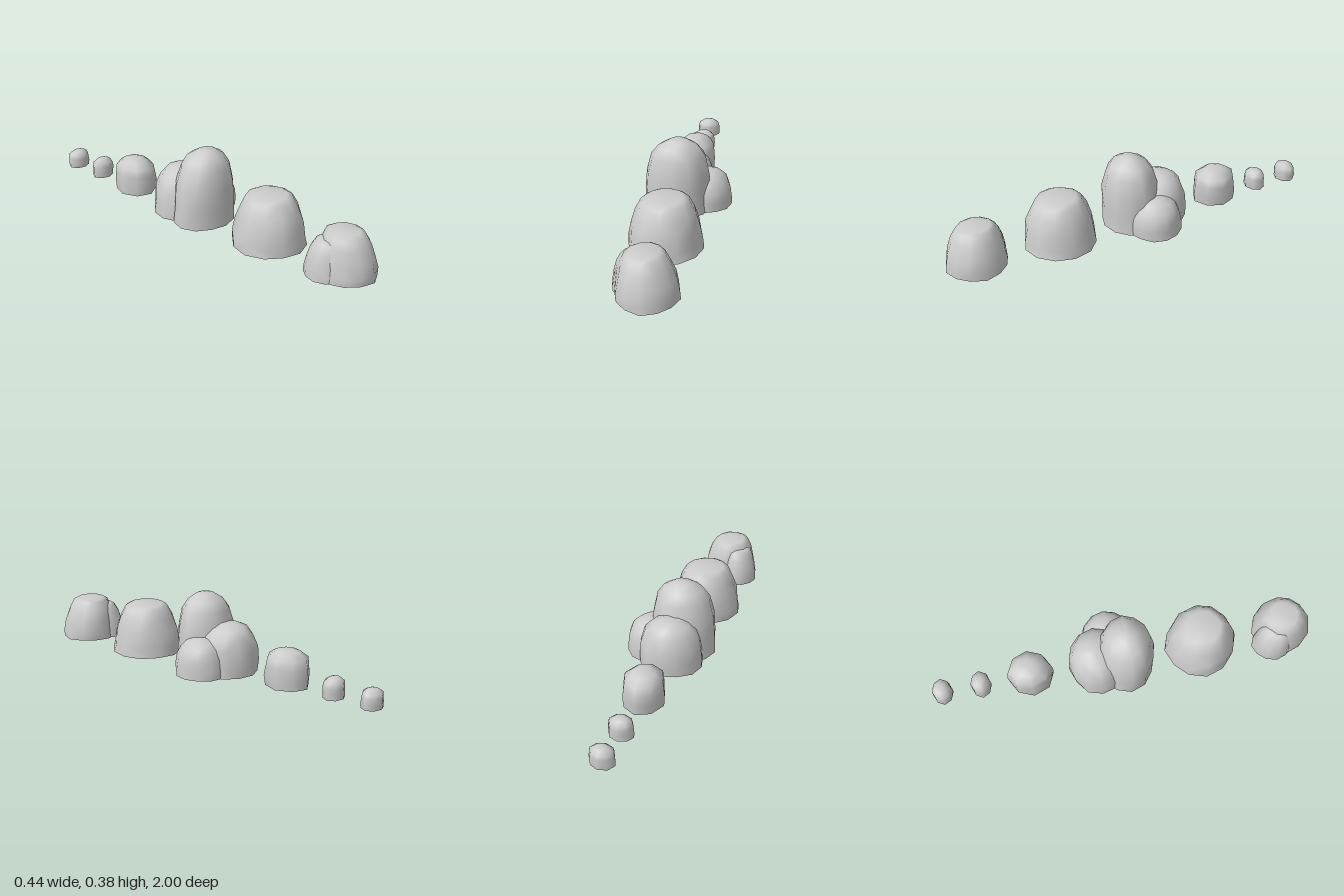
import * as THREE from 'three';

const material = new THREE.MeshStandardMaterial({ color: 0xcccccc, side: THREE.DoubleSide });

function seeded(seed) {
  return () => {
    seed = (seed * 16807) % 2147483647;
    return seed / 2147483647;
  };
}

// Profiles from the open base to the crown: [radius share, height share]
const TAPERED = [[1, 0], [0.98, 0.17], [0.91, 0.45], [0.79, 0.72], [0.63, 0.92], [0.47, 0.98]];
const ROUND = [[1, 0], [0.99, 0.25], [0.94, 0.52], [0.8, 0.76], [0.58, 0.91], [0.3, 0.99]];
const TALL = [[1, 0], [0.99, 0.28], [0.95, 0.53], [0.82, 0.77], [0.61, 0.9], [0.28, 0.985]];
const BLOCKY = [[0.97, 0], [1, 0.28], [0.97, 0.55], [0.9, 0.78], [0.55, 0.94], [0.3, 0.99]];

// Hollow boulder: irregular rings that lean toward an offset crown
function boulder({ name, x, z, rx, rz, h, profile, seed, lean = [0, 0], sides = 12 }) {
  const random = seeded(seed * 7919);
  const pos = [], index = [];
  profile.forEach(([r, y], k) => {
    for (let i = 0; i < sides; i++) {
      const a = (i / sides) * Math.PI * 2;
      const axial = i % (sides / 4) === 0;
      const wobble = 1 - random() * (axial ? 0.015 : 0.07);
      const dip = k === 0 ? 0 : (random() - 0.5) * 0.05 * (1 - y);
      pos.push(
        x + Math.cos(a) * rx * r * wobble + lean[0] * y * y,
        0.005 + (y + dip) * (h - 0.005),
        z + Math.sin(a) * rz * r * wobble + lean[1] * y * y
      );
    }
  });
  pos.push(x + lean[0], h, z + lean[1]);
  const top = profile.length * sides;
  for (let k = 0; k < profile.length; k++) {
    for (let i = 0; i < sides; i++) {
      const j = (i + 1) % sides;
      const a = k * sides + i, b = k * sides + j;
      if (k === profile.length - 1) index.push(a, top, b);
      else if (random() < 0.5) index.push(a, a + sides, b, b, a + sides, b + sides);
      else index.push(a, a + sides, b + sides, a, b + sides, b);
    }
  }
  const geometry = new THREE.BufferGeometry();
  geometry.setAttribute('position', new THREE.Float32BufferAttribute(pos, 3));
  geometry.setIndex(index);
  geometry.computeVertexNormals();
  const mesh = new THREE.Mesh(geometry, material);
  mesh.name = name;
  return mesh;
}

export function createModel() {
  const model = new THREE.Group();
  model.name = 'boulderRow';
  const rocks = [
    // Front boulder with a lower lobe behind it
    { name: 'frontBoulder', x: -0.022, z: 0.845, rx: 0.148, rz: 0.155, h: 0.226, profile: TAPERED, seed: 3, lean: [-0.01, -0.015] },
    { name: 'frontBoulderLobe', x: -0.095, z: 0.785, rx: 0.1, rz: 0.112, h: 0.19, profile: TAPERED, seed: 5, lean: [0.01, 0.01] },
    // Second boulder
    { name: 'wideBoulder', x: -0.03, z: 0.408, rx: 0.185, rz: 0.19, h: 0.266, profile: TAPERED, seed: 8 },
    // Central cluster
    { name: 'tallBoulder', x: -0.05, z: 0.008, rx: 0.17, rz: 0.15, h: 0.383, profile: TALL, seed: 11, lean: [0.01, 0.01] },
    { name: 'clusterBackLobe', x: -0.037, z: -0.135, rx: 0.165, rz: 0.155, h: 0.252, profile: ROUND, seed: 14 , lean: [0, -0.01] },
    { name: 'clusterSideLobe', x: 0.095, z: -0.065, rx: 0.125, rz: 0.135, h: 0.188, profile: ROUND, seed: 17 },
    // Smaller boulders toward the back
    { name: 'smallBoulder', x: -0.04, z: -0.488, rx: 0.106, rz: 0.12, h: 0.187, profile: BLOCKY, seed: 21, sides: 8 },
    { name: 'pebble', x: -0.04, z: -0.748, rx: 0.065, rz: 0.053, h: 0.106, profile: BLOCKY, seed: 26, sides: 8 },
    { name: 'endPebble', x: -0.04, z: -0.947, rx: 0.064, rz: 0.053, h: 0.097, profile: BLOCKY, seed: 29, sides: 8 },
  ];
  rocks.forEach((rock) => model.add(boulder(rock)));
  return model;
}
